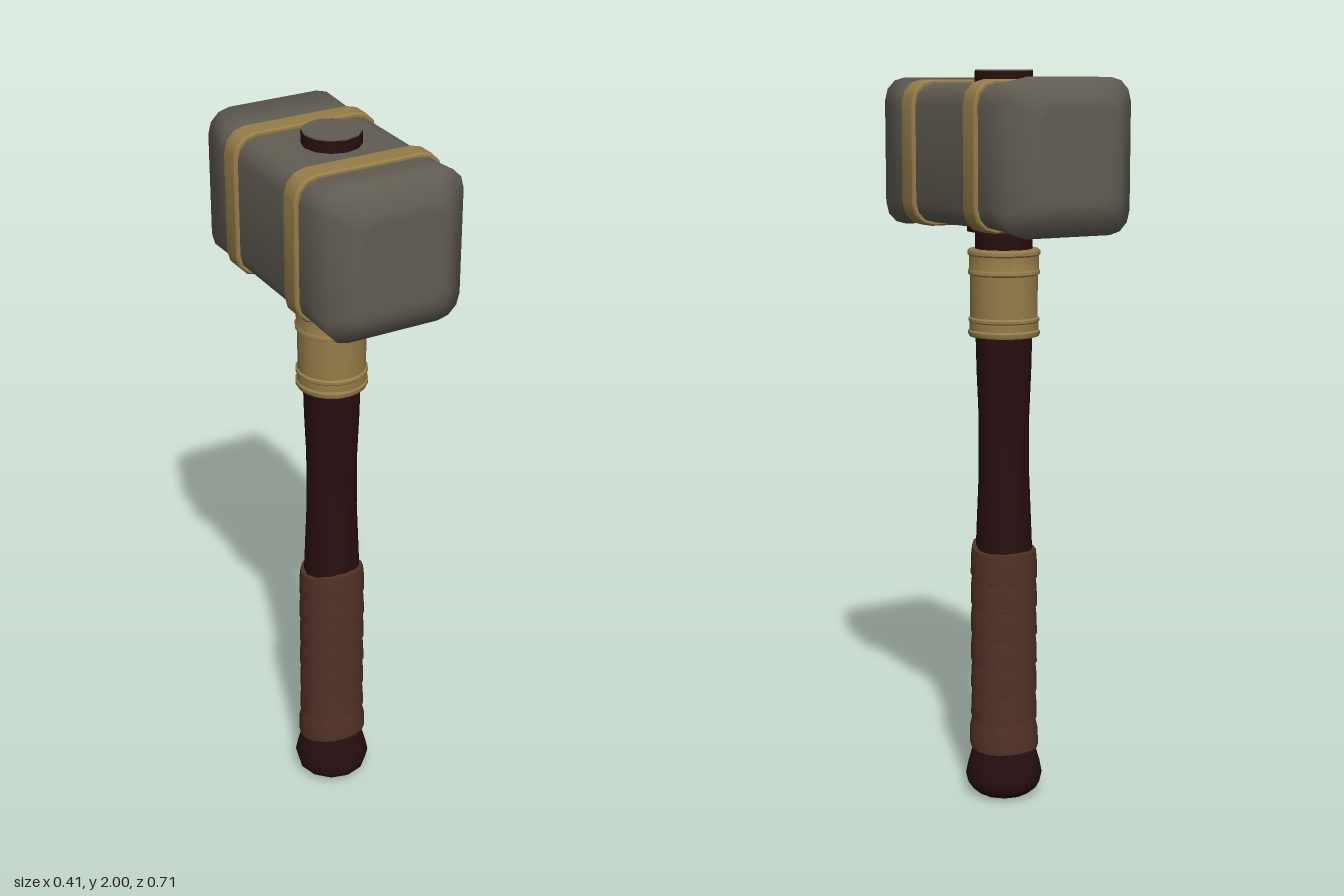
import * as THREE from 'three';
import { toCreasedNormals } from 'three/addons/utils/BufferGeometryUtils.js';

const material = (name, color) => {
  const m = new THREE.MeshStandardMaterial({ color });
  m.name = name;
  return m;
};

// Outline of a rounded rectangle, counter-clockwise seen from +z
function roundedRing(hx, hy, r, steps = 3) {
  const ring = [];
  [[1, 1], [-1, 1], [-1, -1], [1, -1]].forEach(([sx, sy], q) => {
    for (let k = 0; k <= steps; k++) {
      const a = (q + k / steps) * Math.PI / 2;
      ring.push([sx * (hx - r) + Math.cos(a) * r, sy * (hy - r) + Math.sin(a) * r]);
    }
  });
  return ring;
}

// Closed loft along z; each section is [z, half width, half height, corner radius]
function loft(sections, crease) {
  const pos = [], index = [];
  const rings = sections.map(([, hx, hy, r]) => roundedRing(hx, hy, r));
  const n = rings[0].length;
  rings.forEach((ring, i) => ring.forEach(([x, y]) => pos.push(x, y, sections[i][0])));
  const last = sections.length - 1;
  const back = pos.length / 3;
  pos.push(0, 0, sections[0][0], 0, 0, sections[last][0]);
  for (let j = 0; j < n; j++) {
    const k = (j + 1) % n;
    for (let i = 0; i < last; i++) {
      const a = i * n + j, b = i * n + k;
      index.push(a, b, b + n, a, b + n, a + n);
    }
    index.push(back, k, j, back + 1, last * n + j, last * n + k);
  }
  const g = new THREE.BufferGeometry();
  g.setAttribute('position', new THREE.Float32BufferAttribute(pos, 3));
  g.setIndex(index);
  return toCreasedNormals(g, crease);
}

// Turned part from [radius, height] points
const lathe = (points, sides, crease = 0.7) =>
  toCreasedNormals(new THREE.LatheGeometry(points.map(p => new THREE.Vector2(...p)), sides), crease);

export function createModel() {
  const group = new THREE.Group();
  const stone = material('stone', 0x615d53);
  const brass = material('brass', 0x967d49);
  const wood = material('darkWood', 0x290f10);
  const leather = material('leather', 0x513127);

  const add = (name, geometry, mat, y = 0, z = 0) => {
    const mesh = new THREE.Mesh(geometry, mat);
    mesh.name = name;
    mesh.position.set(0, y, z);
    group.add(mesh);
    return mesh;
  };

  // Head with flared, bevelled striking ends
  const headY = 1.782;
  const half = [
    [0.12, 0.195, 0.183, 0.055],
    [0.22, 0.195, 0.184, 0.055],
    [0.31, 0.188, 0.199, 0.062],
    [0.355, 0.127, 0.14, 0.035],
    [0.355, 0.1, 0.11, 0.028],
  ];
  const mirrored = half.map(([z, ...rest]) => [-z, ...rest]).reverse();
  add('head', loft([...mirrored, ...half], 1.2), stone, headY);

  // Straps around the head
  const strap = loft([
    [-0.031, 0.185, 0.173, 0.05],
    [-0.031, 0.201, 0.189, 0.058],
    [-0.026, 0.205, 0.193, 0.06],
    [0.026, 0.205, 0.193, 0.06],
    [0.031, 0.201, 0.189, 0.058],
    [0.031, 0.185, 0.173, 0.05],
  ], 0.6);
  for (const s of [1, -1]) add(s > 0 ? 'frontStrap' : 'backStrap', strap, brass, headY, s * 0.159);

  // Shaft and pommel
  add('shaft', lathe([
    [0, 0.008], [0.05, 0.008], [0.062, 0], [0.075, 0.004], [0.1, 0.026], [0.107, 0.055],
    [0.1, 0.09], [0.086, 0.14], [0.078, 0.2], [0.078, 0.7], [0.074, 0.8], [0.069, 0.92],
    [0.069, 1.08], [0.074, 1.2], [0.077, 1.32], [0.077, 1.996], [0, 1.996],
  ], 12), wood);

  // Top plug face and the seat under the head
  add('plugFace', new THREE.CylinderGeometry(0.076, 0.076, 0.006, 12), stone, 1.997);
  add('headSeat', new THREE.CylinderGeometry(0.1, 0.1, 0.03, 16), wood, 1.594);

  // Brass collar with raised rims
  add('collar', lathe([
    [0.07, 1.298], [0.094, 1.298], [0.097, 1.304], [0.097, 1.312], [0.093, 1.316], [0.093, 1.336],
    [0.096, 1.339], [0.096, 1.346], [0.091, 1.35], [0.091, 1.462], [0.097, 1.466], [0.097, 1.474],
    [0.094, 1.478], [0.094, 1.514], [0.098, 1.518], [0.098, 1.527], [0.094, 1.532], [0.07, 1.532],
  ], 20), brass);

  // Leather grip: overlapping wraps, each tilted around the shaft
  const wraps = 7, bottom = 0.145, pitch = 0.57 / wraps;
  const profile = [[0.072, bottom]];
  for (let i = 0; i < wraps; i++) {
    const y = bottom + i * pitch;
    const swell = i === 0 ? 0.004 : 0;
    profile.push([0.092 + swell, y], [0.091 + swell, y + pitch * 0.6], [0.088, y + pitch * 0.98]);
  }
  profile.push([0.072, bottom + wraps * pitch]);
  const grip = new THREE.LatheGeometry(profile.map(p => new THREE.Vector2(...p)), 18);
  const p = grip.attributes.position;
  for (let i = 0; i < p.count; i++) {
    const a = Math.atan2(p.getX(i), p.getZ(i));
    p.setY(i, p.getY(i) + 0.012 * Math.cos(a) + 0.006 * Math.cos(2 * a));
  }
  add('grip', toCreasedNormals(grip, 0.6), leather);

  return group;
}
